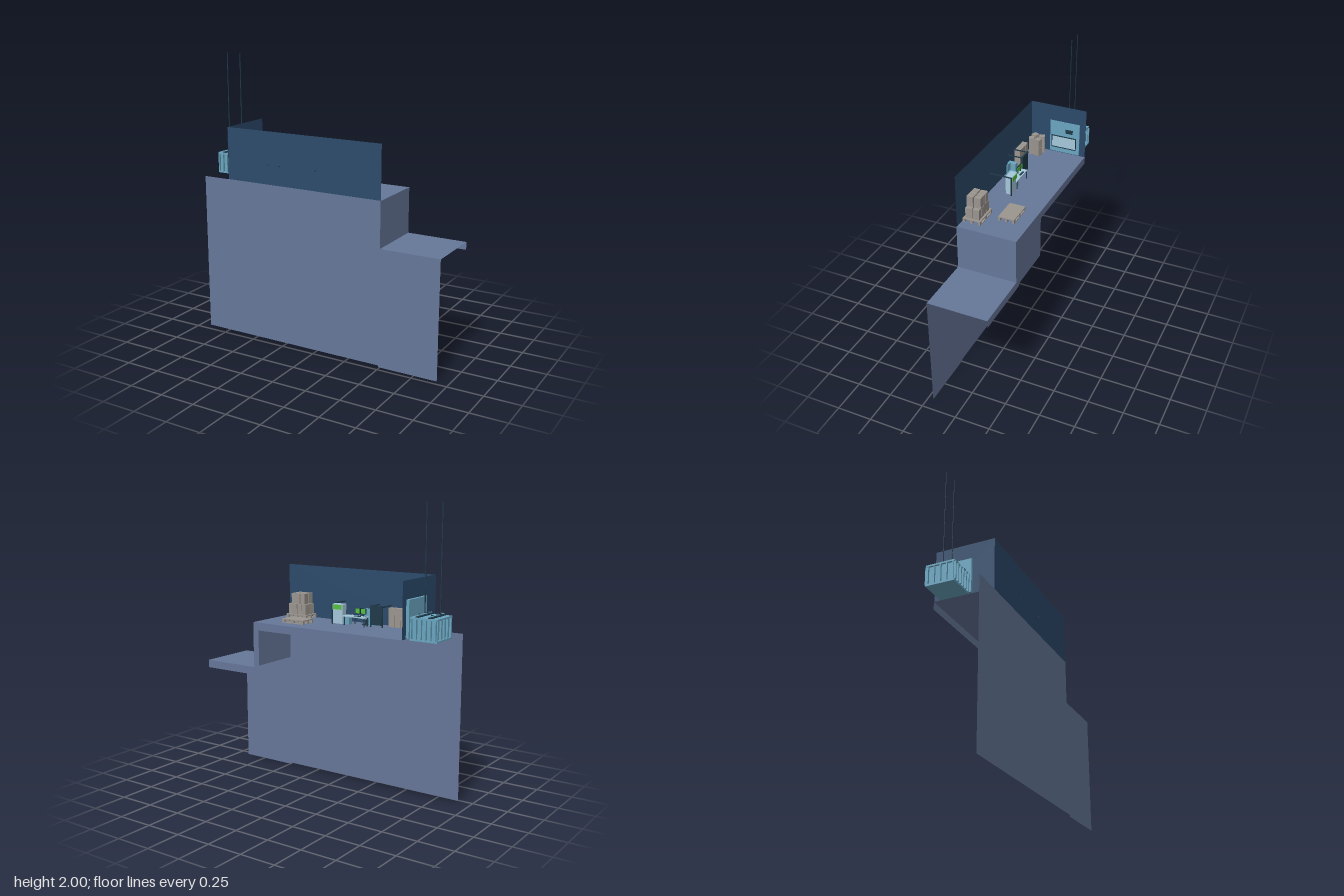
import * as THREE from 'three';

const mat = (color) => new THREE.MeshStandardMaterial({ color, side: THREE.DoubleSide, flatShading: true });
const M = {
  floor: mat(0x667799), wall: mat(0x2c4a6b), steel: mat(0x6aa5c0), dark: mat(0x1f3a48),
  pale: mat(0xa5c8da), carton: mat(0x9b958f), green: mat(0x55c040),
};

export function createModel() {
  const root = new THREE.Group();

  const group = (name, parent = root) => {
    const g = new THREE.Group();
    g.name = name;
    parent.add(g);
    return g;
  };
  // Box given by its limits on each axis
  const box = (parent, name, m, x0, x1, y0, y1, z0, z1) => {
    const mesh = new THREE.Mesh(new THREE.BoxGeometry(x1 - x0, y1 - y0, z1 - z0), m);
    mesh.position.set((x0 + x1) / 2, (y0 + y1) / 2, (z0 + z1) / 2);
    mesh.name = name;
    parent.add(mesh);
    return mesh;
  };
  // Thin sheet from corner points
  const sheet = (parent, name, m, ...p) => {
    const g = new THREE.BufferGeometry();
    g.setAttribute('position', new THREE.Float32BufferAttribute(p.flat(), 3));
    g.setIndex([0, 1, 2, 0, 2, 3]);
    g.computeVertexNormals();
    const mesh = new THREE.Mesh(g, m);
    mesh.name = name;
    parent.add(mesh);
  };
  const post = (parent, name, m, r, x, y0, y1, z) => {
    const mesh = new THREE.Mesh(new THREE.CylinderGeometry(r, r, y1 - y0, 8), m);
    mesh.position.set(x, (y0 + y1) / 2, z);
    mesh.name = name;
    parent.add(mesh);
  };

  // Stepped platform: sheets only, open underneath
  const F = 0.212, B = -0.212, L = -0.712, S = 0.49, R = 0.915, T = 1.15, D = 0.83;
  const platform = group('platform');
  sheet(platform, 'upperFloor', M.floor, [L, T, F], [S, T, F], [S, T, B], [L, T, B]);
  sheet(platform, 'lowerFloor', M.floor, [S, D, F], [R, D, F], [R, D, B], [S, D, B]);
  sheet(platform, 'stepRiser', M.floor, [S, D, F], [S, D, B], [S, T, B], [S, T, F]);
  sheet(platform, 'frontFaceTall', M.floor, [-0.91, 0.012, F], [S, 0.012, F], [S, T, F], [-0.91, T, F]);
  sheet(platform, 'frontFaceLow', M.floor, [S, 0, F], [R, 0, F], [R, D, F], [S, D, F]);
  // Narrow lip following the back edge of the step
  sheet(platform, 'upperLip', M.floor, [S, T, B], [L, T, B], [L, T - 0.055, B], [S, T - 0.055, B]);
  sheet(platform, 'stepLip', M.floor, [S, T - 0.055, B], [S - 0.045, T - 0.055, B], [S - 0.045, D - 0.055, B], [S, D - 0.055, B]);
  sheet(platform, 'lowerLip', M.floor, [R, D, B], [S, D, B], [S, D - 0.055, B], [R, D - 0.055, B]);

  // Walls
  const W = -0.704;
  sheet(root, 'frontWall', M.wall, [W, T, 0.208], [S, T, 0.208], [S, 1.52, 0.208], [W, 1.52, 0.208]);
  sheet(root, 'endWall', M.wall, [W, T, B], [W, T, F], [W, 1.52, F], [W, 1.52, B]);

  // Transformer bolted to the end wall
  const tr = group('transformer');
  box(tr, 'backPlate', M.steel, -0.725, -0.7, 1.155, 1.4, -0.167, 0.06);
  box(tr, 'tank', M.steel, -0.905, -0.725, 1.15, 1.285, -0.15, 0.035);
  box(tr, 'lid', M.steel, -0.918, -0.728, 1.28, 1.292, -0.158, 0.043);
  box(tr, 'base', M.steel, -0.918, -0.725, 1.143, 1.155, -0.158, 0.043);
  for (let i = 0; i < 6; i++) {
    const x = -0.908 + i * 0.034;
    for (const z of [-0.158, 0.043])
      box(tr, 'coolingFin', M.steel, x - 0.004, x + 0.004, 1.155, 1.282, z - 0.008, z + 0.008);
  }
  for (let i = 0; i < 5; i++) {
    const z = -0.145 + i * 0.044;
    box(tr, 'endRib', M.steel, -0.918, -0.9, 1.155, 1.282, z - 0.004, z + 0.004);
  }
  for (const x of [-0.865, -0.775]) {
    box(tr, 'busBar', M.dark, x - 0.012, x + 0.012, 1.292, 1.298, -0.155, 0.04);
    for (const z of [-0.125, -0.055, 0.015]) {
      post(tr, 'bushing', M.dark, 0.007, x, 1.296, 1.312, z);
      post(tr, 'bushingCap', M.steel, 0.011, x, 1.303, 1.308, z);
    }
  }
  for (const x of [-0.885, -0.775]) box(tr, 'supplyCable', M.dark, x - 0.003, x + 0.003, 1.29, 2, -0.057, -0.053);
  // Fittings on the inner side of the plate
  box(tr, 'vent', M.dark, -0.701, -0.696, 1.315, 1.345, -0.115, -0.06);
  for (const y of [1.19, 1.28]) box(tr, 'hatchRail', M.dark, -0.701, -0.694, y, y + 0.006, -0.14, 0.045);
  for (const z of [-0.143, 0.042]) box(tr, 'hatchRail', M.dark, -0.701, -0.694, 1.19, 1.286, z, z + 0.005);
  box(tr, 'hatch', M.pale, -0.701, -0.697, 1.195, 1.28, -0.138, 0.042);

  // Pallets: boards on runners
  const pallet = (name, x0, x1, z0, z1) => {
    const g = group(name);
    box(g, 'deck', M.carton, x0, x1, 1.173, 1.18, z0, z1);
    for (let i = 0; i < 3; i++) {
      const z = z0 + 0.008 + i * (z1 - z0 - 0.016) / 2;
      box(g, 'bottomBoard', M.carton, x0, x1, 1.151, 1.156, z - 0.008, z + 0.008);
      for (const x of [x0 + 0.01, (x0 + x1) / 2, x1 - 0.01])
        box(g, 'block', M.carton, x - 0.01, x + 0.01, 1.156, 1.173, z - 0.008, z + 0.008);
    }
    return g;
  };
  pallet('emptyPallet', 0.13, 0.312, -0.115, 0);
  const load = pallet('loadedPallet', 0.245, 0.422, 0.075, 0.202);
  const carton = (parent, x, y, z, w, h, d, turn) => {
    const c = box(parent, 'carton', M.carton, x - w / 2, x + w / 2, y, y + h, z - d / 2, z + d / 2);
    c.rotation.y = turn;
  };
  for (let layer = 0; layer < 2; layer++)
    for (let i = 0; i < 4 - layer; i++)
      for (let j = 0; j < 2; j++)
        carton(load, 0.278 + i * 0.038 + layer * 0.012, 1.18 + layer * 0.075, 0.112 + j * 0.053,
          0.034, 0.073, 0.046, 0.12 * Math.sin(i * 3 + j * 5 + layer));

  // Cartons by the walls
  const loose = group('looseCartons');
  [[-0.66, 0.107, 0.3], [-0.6, 0.112, -0.3], [-0.665, 0.162, -0.4], [-0.605, 0.165, 0.35]].forEach(([x, z, a]) => {
    for (const y of [1.15, 1.215]) carton(loose, x, y, z, 0.04, 0.064, 0.04, a);
  });
  for (const x of [-0.497, -0.45, -0.403])
    for (const y of [1.15, 1.215]) carton(loose, x, y, 0.18, 0.045, 0.064, 0.042, 0);

  // Control booth: rails reaching the front wall, cabinet and posts
  const booth = group('controlBooth');
  for (const [x, z] of [[-0.37, 0.093], [-0.28, 0.093], [0.003, 0.045]]) {
    box(booth, 'rail', M.dark, x - 0.003, x + 0.003, 1.285, 1.292, z, 0.213);
    box(booth, 'upright', M.dark, x - 0.004, x + 0.004, 1.15, 1.29, z, z + 0.008);
  }
  box(booth, 'screenPanel', M.dark, -0.37, -0.28, 1.165, 1.292, 0.09, 0.097);
  box(booth, 'panelCap', M.dark, -0.372, -0.278, 1.288, 1.297, 0.087, 0.1);

  // Desk with instruments
  const desk = group('desk');
  box(desk, 'desktop', M.pale, -0.26, -0.085, 1.208, 1.216, 0.047, 0.1);
  for (const x of [-0.255, -0.095])
    for (const z of [0.052, 0.092]) post(desk, 'deskLeg', M.dark, 0.004, x, 1.15, 1.208, z);
  box(desk, 'drawerUnit', M.steel, -0.13, -0.1, 1.155, 1.208, 0.055, 0.095);
  for (const x of [-0.23, -0.185]) {
    post(desk, 'monitorStand', M.dark, 0.003, x, 1.216, 1.235, 0.085);
    box(desk, 'monitor', M.dark, x - 0.02, x + 0.02, 1.232, 1.272, 0.08, 0.088);
    box(desk, 'display', M.green, x - 0.016, x + 0.016, 1.236, 1.268, 0.077, 0.081);
  }
  box(desk, 'keyboard', M.dark, -0.22, -0.17, 1.216, 1.22, 0.055, 0.068);

  // Upright console with a lit screen
  const con = group('console');
  box(con, 'cabinet', M.pale, -0.08, -0.002, 1.155, 1.25, 0.05, 0.092);
  box(con, 'head', M.pale, -0.085, 0, 1.25, 1.29, 0.045, 0.092);
  box(con, 'screen', M.green, -0.077, -0.008, 1.254, 1.286, 0.041, 0.046);

  // Swivel seat, side cabinet and notebook table by the wall
  const seat = group('swivelSeat');
  post(seat, 'pedestal', M.dark, 0.005, -0.21, 1.153, 1.19, 0.145);
  post(seat, 'foot', M.dark, 0.026, -0.21, 1.15, 1.155, 0.145);
  box(seat, 'cushion', M.steel, -0.236, -0.184, 1.19, 1.2, 0.12, 0.17);
  box(seat, 'backrest', M.steel, -0.234, -0.186, 1.205, 1.26, 0.166, 0.174);
  box(root, 'sideCabinet', M.steel, -0.275, -0.24, 1.15, 1.25, 0.13, 0.19);
  const table = group('sideTable');
  post(table, 'tableLeg', M.dark, 0.004, -0.13, 1.15, 1.205, 0.13);
  box(table, 'tableTop', M.pale, -0.155, -0.105, 1.205, 1.211, 0.115, 0.142).rotation.y = 0.35;

  return root;
}
